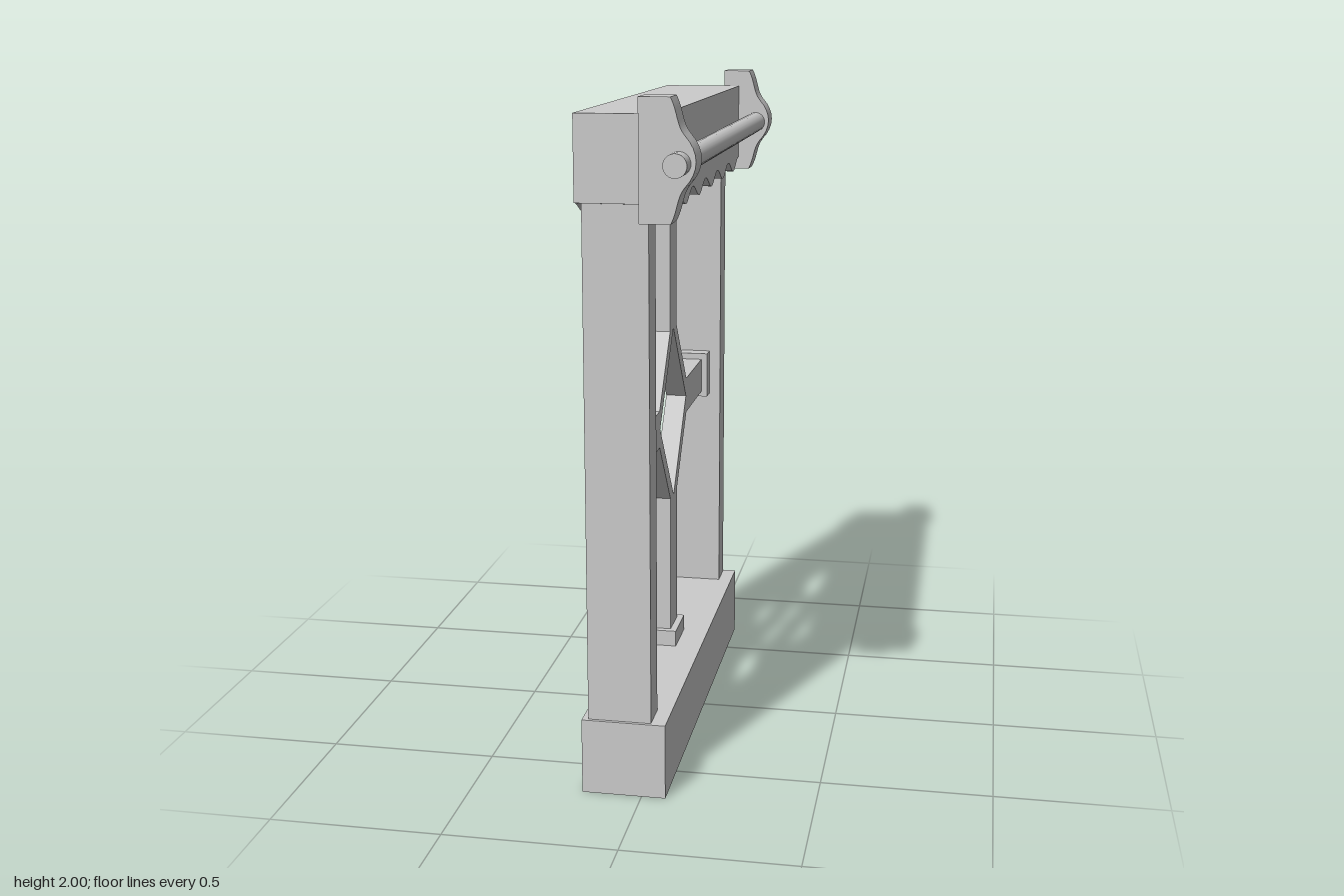
import * as THREE from 'three';
import { toCreasedNormals } from 'three/addons/utils/BufferGeometryUtils.js';

export function createModel() {
  const model = new THREE.Group();
  const material = new THREE.MeshStandardMaterial({ color: 0xcccccc });

  function add(name, geometry) {
    const mesh = new THREE.Mesh(geometry, material);
    mesh.name = name;
    model.add(mesh);
    return mesh;
  }

  // Box given by its limits on each axis
  function box(name, x0, x1, y0, y1, z0, z1) {
    const mesh = add(name, new THREE.BoxGeometry(x1 - x0, y1 - y0, z1 - z0));
    mesh.position.set((x0 + x1) / 2, (y0 + y1) / 2, (z0 + z1) / 2);
  }

  // Side profile (horizontal = -z, vertical = y) extruded from x0 to x1
  function extrudeAcross(name, shape, x0, x1) {
    const geometry = new THREE.ExtrudeGeometry(shape, { depth: x1 - x0, bevelEnabled: false });
    geometry.rotateY(Math.PI / 2).translate(x0, 0, 0);
    add(name, toCreasedNormals(geometry, 0.5));
  }

  const points = (list) => list.map(([a, b]) => new THREE.Vector2(a, b));

  // Base sill and posts
  box('baseSill', -0.175, 0.07, 0, 0.225, -0.68, 0.68);
  box('leftPost', -0.157, 0.027, 0.22, 1.74, 0.575, 0.67);
  box('rightPost', -0.157, 0.027, 0.22, 1.74, -0.67, -0.575);

  // Top beam with a scalloped lower edge
  const beam = [[0.68, 1.95], [-0.68, 1.95]];
  const steps = 72;
  for (let i = 0; i <= steps; i++) {
    const t = i / steps;
    beam.push([-0.68 + 1.36 * t, 1.693 + 0.019 * Math.cos(t * 6 * Math.PI * 2)]);
  }
  extrudeAcross('scallopedBeam', new THREE.Shape(points(beam)), -0.175, 0.07);

  // Cross lattice with a diamond opening
  const lattice = new THREE.Shape(points([
    [-0.055, 0.25], [0.055, 0.25], [0.055, 0.71], [0.23, 0.922],
    [0.58, 0.922], [0.58, 1.035], [0.23, 1.035], [0.055, 1.245],
    [0.055, 1.70], [-0.055, 1.70], [-0.055, 1.245], [-0.23, 1.035],
    [-0.58, 1.035], [-0.58, 0.922], [-0.23, 0.922], [-0.055, 0.71],
  ]));
  lattice.holes.push(new THREE.Path(points([[0, 1.248], [-0.222, 0.978], [0, 0.708], [0.222, 0.978]])));
  extrudeAcross('diamondLattice', lattice, -0.095, -0.03);

  // Collars where the lattice meets the frame
  const c0 = -0.115, c1 = -0.01;
  box('lowerCollar', c0, c1, 0.22, 0.275, -0.075, 0.075);
  box('upperCollar', c0, c1, 1.662, 1.71, -0.075, 0.075);
  box('leftCollar', c0, c1, 0.905, 1.055, 0.525, 0.58);
  box('rightCollar', c0, c1, 0.905, 1.055, -0.58, -0.525);

  // Curved end brackets holding the rod
  const bracket = new THREE.Shape();
  bracket.moveTo(0.02, 1.672);
  bracket.lineTo(0.105, 1.672);
  bracket.bezierCurveTo(0.125, 1.71, 0.12, 1.74, 0.142, 1.768);
  bracket.bezierCurveTo(0.182, 1.81, 0.182, 1.86, 0.142, 1.903);
  bracket.bezierCurveTo(0.12, 1.93, 0.125, 1.96, 0.105, 2);
  bracket.lineTo(0.02, 2);
  bracket.closePath();
  for (const [name, z] of [['leftBracket', 0.68], ['rightBracket', -0.77]]) {
    const geometry = new THREE.ExtrudeGeometry(bracket, { depth: 0.09, bevelEnabled: false, curveSegments: 8 });
    add(name, toCreasedNormals(geometry.translate(0, 0, z), 0.5));
  }

  // Rod through both brackets
  const rod = add('rod', new THREE.CylinderGeometry(0.032, 0.032, 1.66, 24));
  rod.rotation.x = Math.PI / 2;
  rod.position.set(0.127, 1.83, 0);

  return model;
}
